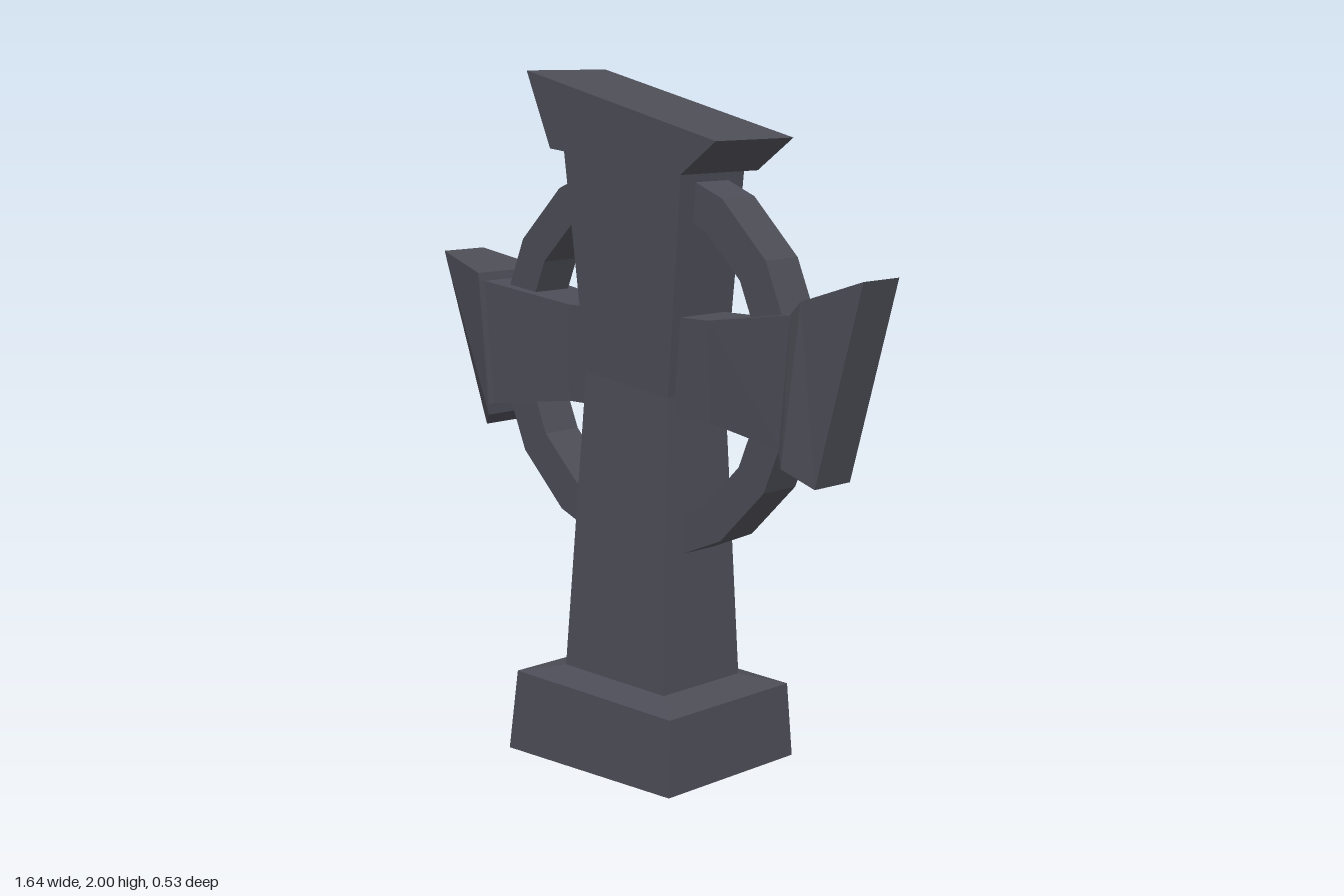
import * as THREE from 'three';

const stone = new THREE.MeshStandardMaterial({ color: 0x4c4c56 });
stone.name = 'darkStone';

// Loft through rectangular sections [ax, ay, bx, by, halfDepth].
// Upright parts: a = left edge, b = right edge. Sideways parts (towards +x): a = top, b = bottom.
function loft(name, sections) {
  const rings = sections.map(([ax, ay, bx, by, h]) => [[ax, ay, h], [bx, by, h], [bx, by, -h], [ax, ay, -h]]);
  const pos = [];
  const quad = (a, b, c, d) => pos.push(...a, ...b, ...c, ...a, ...c, ...d);
  for (let s = 0; s < rings.length - 1; s++) {
    for (let i = 0; i < 4; i++) {
      const j = (i + 1) % 4;
      quad(rings[s][i], rings[s][j], rings[s + 1][j], rings[s + 1][i]);
    }
  }
  const first = rings[0], last = rings[rings.length - 1];
  quad(first[3], first[2], first[1], first[0]);
  quad(last[0], last[1], last[2], last[3]);
  const geo = new THREE.BufferGeometry();
  geo.setAttribute('position', new THREE.Float32BufferAttribute(pos, 3));
  geo.computeVertexNormals();
  const mesh = new THREE.Mesh(geo, stone);
  mesh.name = name;
  return mesh;
}

// Sixteen-sided wheel behind the crossing
function wheel() {
  const polygon = (r) => Array.from({ length: 16 }, (_, i) => {
    const a = (i + 0.5) * Math.PI / 8;
    return new THREE.Vector2(Math.cos(a) * r, Math.sin(a) * r);
  });
  const shape = new THREE.Shape(polygon(0.575));
  shape.holes.push(new THREE.Path(polygon(0.465)));
  const geo = new THREE.ExtrudeGeometry(shape, { depth: 0.134, bevelEnabled: false });
  geo.translate(0, 1.182, -0.067);
  const mesh = new THREE.Mesh(geo, stone);
  mesh.name = 'wheelRing';
  return mesh;
}

export function createModel() {
  const group = new THREE.Group();
  group.name = 'stoneCross';
  group.add(
    // Plinth with sloped shoulder
    loft('plinth', [
      [-0.345, 0, 0.31, 0, 0.265],
      [-0.32, 0.24, 0.30, 0.22, 0.252],
      [-0.21, 0.262, 0.19, 0.248, 0.16],
    ]),
    // Waisted shaft
    loft('shaft', [
      [-0.21, 0.25, 0.19, 0.24, 0.16],
      [-0.158, 1.14, 0.167, 1.1, 0.12],
      [-0.235, 1.79, 0.226, 1.74, 0.131],
    ]),
    // Tilted head stone
    loft('headStone', [
      [-0.26, 1.78, 0.25, 1.725, 0.16],
      [-0.355, 2.0, 0.38, 1.82, 0.16],
    ]),
    // Cross arms, flaring outwards
    loft('crossArms', [
      [-0.62, 1.372, -0.585, 0.998, 0.11],
      [-0.26, 1.325, -0.26, 1.04, 0.09],
      [0.29, 1.325, 0.30, 1.04, 0.09],
      [0.615, 1.37, 0.575, 1.0, 0.11],
    ]),
    // End stones
    loft('rightEndStone', [
      [-0.82, 1.445, -0.635, 0.925, 0.08],
      [-0.61, 1.395, -0.57, 0.967, 0.13],
      [-0.605, 1.37, -0.568, 1.0, 0.13],
    ]),
    loft('leftEndStone', [
      [0.612, 1.372, 0.575, 0.998, 0.12],
      [0.655, 1.41, 0.592, 0.955, 0.13],
      [0.82, 1.47, 0.665, 0.9, 0.075],
    ]),
    wheel(),
  );
  return group;
}
